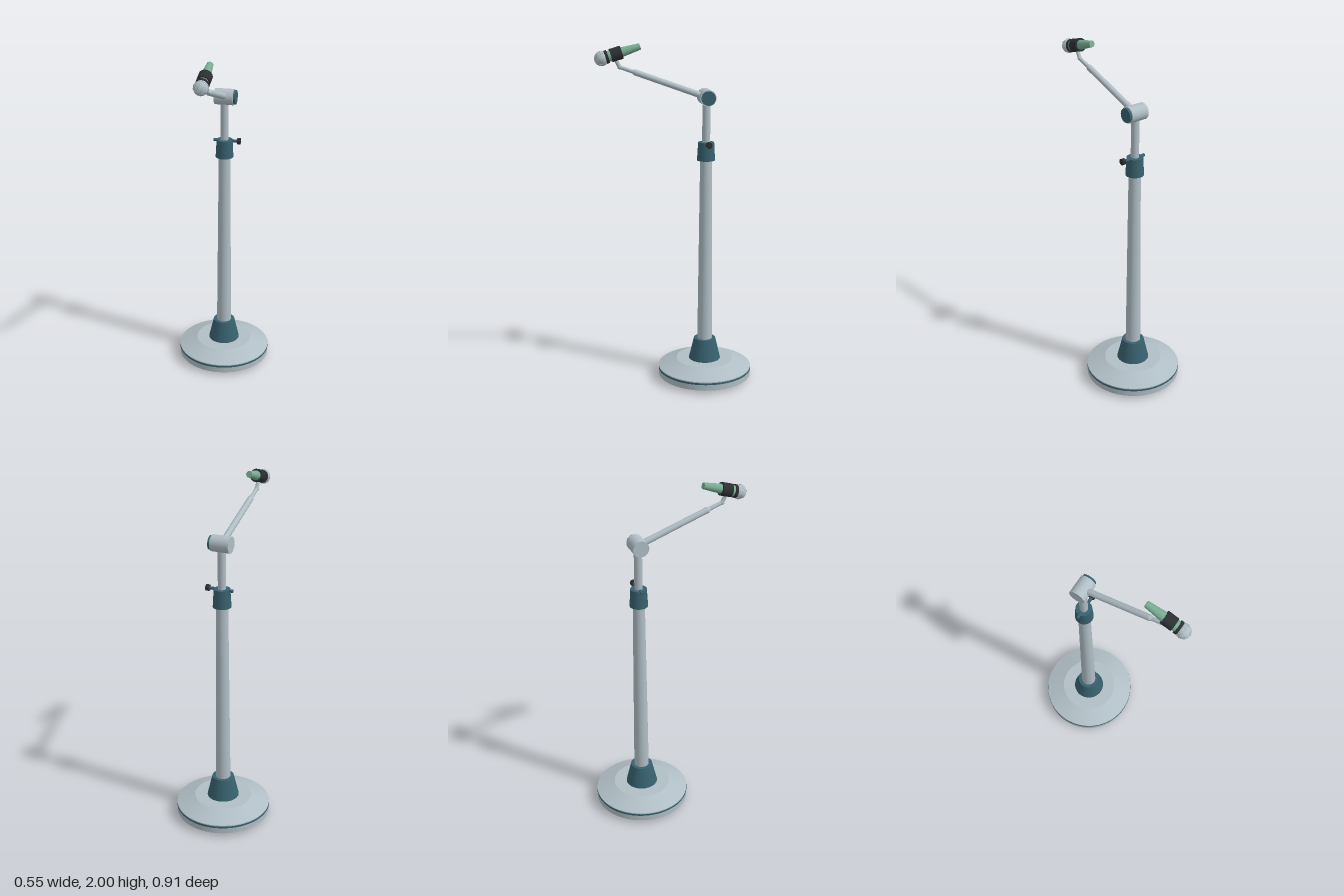
import * as THREE from 'three';

const material = (name, color) => {
  const m = new THREE.MeshStandardMaterial({ color });
  m.name = name;
  return m;
};

export function createModel() {
  const grey = material('light grey metal', 0xb0bec5);
  const teal = material('dark teal', 0x37616e);
  const green = material('soft green', 0x78ab92);
  const black = material('black rubber', 0x2c2f32);

  const model = new THREE.Group();
  model.name = 'microphoneStand';

  const add = (parent, name, geometry, mat) => {
    const mesh = new THREE.Mesh(geometry, mat);
    mesh.name = name;
    parent.add(mesh);
    return mesh;
  };
  // Upright tapered cylinder between two heights
  const stack = (parent, name, mat, y0, y1, r0, r1 = r0, sides = 40) =>
    add(parent, name, new THREE.CylinderGeometry(r1, r0, y1 - y0, sides)
      .translate(0, (y0 + y1) / 2, 0), mat);
  // Round rod between two points
  const rod = (parent, name, mat, a, b, r0, r1 = r0, sides = 24) => {
    const from = new THREE.Vector3(...a), dir = new THREE.Vector3(...b).sub(from);
    const mesh = stack(parent, name, mat, 0, dir.length(), r0, r1, sides);
    mesh.position.copy(from);
    mesh.quaternion.setFromUnitVectors(new THREE.Vector3(0, 1, 0), dir.normalize());
    return mesh;
  };

  // Stand: everything on the vertical axis of the pole
  const stand = new THREE.Group();
  stand.name = 'stand';
  stand.position.z = -0.18;
  model.add(stand);

  stack(stand, 'baseDisc', grey, 0.02, 0.055, 0.276, 0.276, 72);
  stack(stand, 'baseBand', teal, 0.055, 0.066, 0.277, 0.277, 72);
  stack(stand, 'baseRim', grey, 0.066, 0.072, 0.276, 0.276, 72);
  stack(stand, 'baseSlope', grey, 0.072, 0.116, 0.276, 0.168, 72);
  for (let i = 0; i < 3; i++) {
    const a = (i * Math.PI * 2) / 3;
    stack(stand, 'foot', black, 0, 0.021, 0.034, 0.034, 24)
      .position.set(Math.sin(a) * 0.208, 0, Math.cos(a) * 0.208);
  }
  stack(stand, 'socket', teal, 0.115, 0.243, 0.094, 0.064);
  stack(stand, 'pole', grey, 0.24, 1.335, 0.044, 0.034);

  // Height clamp with its tightening screw
  stack(stand, 'collar', teal, 1.33, 1.435, 0.052, 0.046);
  rod(stand, 'clampScrew', teal, [-0.065, 1.43, 0], [0.076, 1.43, 0], 0.009);
  rod(stand, 'clampKnob', black, [0.075, 1.43, 0], [0.094, 1.43, 0], 0.018);
  stack(stand, 'innerPost', grey, 1.43, 1.67, 0.023);

  // Swivel joint
  rod(stand, 'jointBarrel', grey, [-0.055, 1.692, 0], [0.055, 1.692, 0], 0.046, 0.046, 40);
  rod(stand, 'jointCap', teal, [0.055, 1.692, 0], [0.068, 1.692, 0], 0.04, 0.04, 40);

  // Boom arm, stepped down towards the microphone
  const arm = new THREE.Group();
  arm.name = 'arm';
  model.add(arm);
  rod(arm, 'boom', grey, [0, 1.692, -0.18], [0, 1.839, 0.225], 0.018, 0.017);
  rod(arm, 'boomTaper', grey, [0, 1.839, 0.225], [0, 1.844, 0.239], 0.017, 0.011);
  rod(arm, 'boomTip', grey, [0, 1.843, 0.237], [0, 1.87, 0.311], 0.011);
  add(arm, 'elbow', new THREE.SphereGeometry(0.013, 20, 14), grey).position.set(0, 1.87, 0.311);
  rod(arm, 'clipStem', grey, [0, 1.87, 0.311], [0, 1.915, 0.335], 0.011);

  // Microphone: local +y runs from the grille to the tail
  const mic = new THREE.Group();
  mic.name = 'microphone';
  mic.position.set(0, 1.918, 0.41);
  mic.rotation.x = -THREE.MathUtils.degToRad(73.6);
  model.add(mic);
  add(mic, 'grille', new THREE.SphereGeometry(0.04, 32, 20), grey);
  const rib = new THREE.TorusGeometry(0.04, 0.0017, 6, 40);
  add(mic, 'grilleRib', rib, grey).rotation.x = Math.PI / 2;
  for (let i = 0; i < 4; i++) add(mic, 'grilleRib', rib, grey).rotation.y = (i * Math.PI) / 4;
  stack(mic, 'grilleCollar', black, 0.02, 0.036, 0.037);
  stack(mic, 'micBody', green, 0.034, 0.115, 0.031, 0.027);
  stack(mic, 'micHandle', green, 0.115, 0.222, 0.027, 0.018);
  stack(mic, 'clip', black, 0.052, 0.115, 0.037);

  return model;
}
